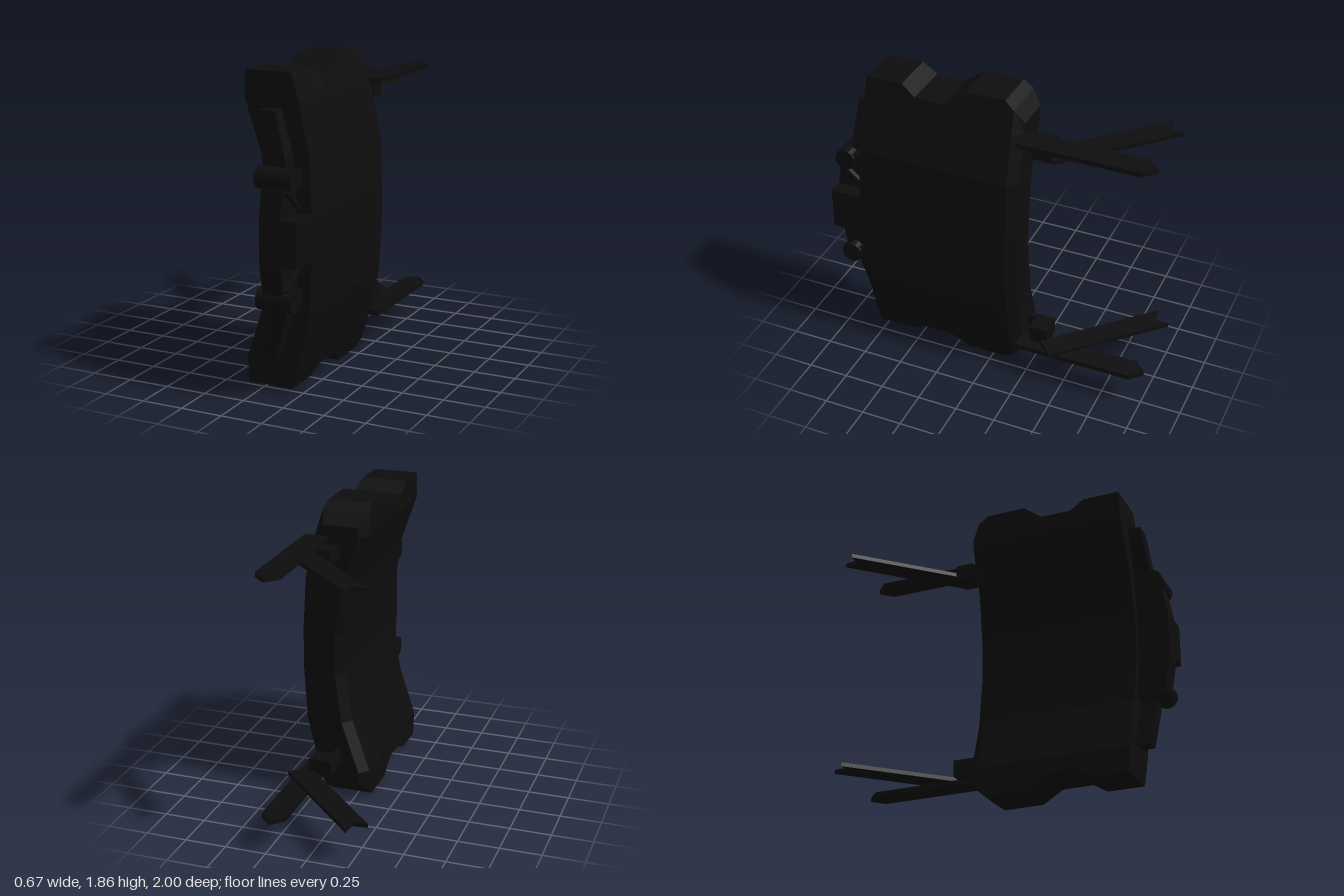
import * as THREE from 'three';

const MID = 0.93; // height of the horizontal mirror plane
const black = new THREE.MeshStandardMaterial({ color: 0x0d0d0d, flatShading: true });

// Piecewise linear lookup in [[key, value], ...]
function lerpTable(table, k) {
  for (let i = 1; i < table.length; i++) {
    const [a, va] = table[i - 1], [b, vb] = table[i];
    if (k <= b || i === table.length - 1) return va + ((vb - va) * (k - a)) / (b - a);
  }
}

// The bow of the shield, by distance from the mid height
const innerX = (y) => lerpTable([[0, 0.065], [0.13, 0.065], [0.45, 0.02], [0.75, -0.085], [0.93, -0.08]], Math.abs(y - MID));
const outerX = (y) => lerpTable([[0, 0.333], [0.13, 0.333], [0.45, 0.315], [0.81, 0.23], [0.93, 0.185]], Math.abs(y - MID));
const centreX = (y) => (innerX(y) + outerX(y)) / 2;

// Joins counter-clockwise rings (seen from +z), each mirrored left/right about a
// strip of rows, into a closed solid. Rings are ordered from low to high z.
function loft(rings) {
  const pos = [];
  const quad = (a, b, c, d) => pos.push(...a, ...b, ...c, ...a, ...c, ...d);
  const n = rings[0].length;
  for (let k = 0; k + 1 < rings.length; k++)
    for (let i = 0; i < n; i++) {
      const j = (i + 1) % n;
      quad(rings[k][i], rings[k][j], rings[k + 1][j], rings[k + 1][i]);
    }
  const back = rings[0], front = rings[rings.length - 1];
  for (let i = 0; i + 1 < n / 2; i++) {
    const p = n - 1 - i, q = n - 2 - i;
    quad(front[i], front[i + 1], front[q], front[p]);
    quad(back[p], back[q], back[i + 1], back[i]);
  }
  const g = new THREE.BufferGeometry();
  g.setAttribute('position', new THREE.Float32BufferAttribute(pos, 3));
  g.computeVertexNormals();
  return g;
}

// A ring from rows of heights with functions for the two sides and the depth
function ring(rows, left, right, depth) {
  const up = rows.map((y) => [right(y), y, depth(y)]);
  const down = rows.map((y) => [left(y), y, depth(y)]).reverse();
  return [...up, ...down];
}

function add(parent, name, geometry, x = 0, y = 0, z = 0) {
  const mesh = new THREE.Mesh(geometry, black);
  mesh.name = name;
  mesh.position.set(x, y, z);
  parent.add(mesh);
  return mesh;
}

function box(parent, name, x0, x1, y0, y1, z0, z1) {
  return add(parent, name, new THREE.BoxGeometry(x1 - x0, y1 - y0, z1 - z0),
    (x0 + x1) / 2, (y0 + y1) / 2, (z0 + z1) / 2);
}

// Flat bar drawn in plan as [x, z] points, from height y0 to y1
function planBar(parent, name, points, y0, y1) {
  const shape = new THREE.Shape(points.map(([x, z]) => new THREE.Vector2(x, -z)));
  const g = new THREE.ExtrudeGeometry(shape, { depth: y1 - y0, bevelEnabled: false });
  g.rotateX(-Math.PI / 2);
  return add(parent, name, g, 0, y0, 0);
}

// Side outline [z, y] extruded from x0 to x1
function sideBlock(parent, name, points, x0, x1) {
  const shape = new THREE.Shape(points.map(([z, y]) => new THREE.Vector2(-z, y)));
  const g = new THREE.ExtrudeGeometry(shape, { depth: x1 - x0, bevelEnabled: false });
  g.rotateY(Math.PI / 2);
  return add(parent, name, g, x0, 0, 0);
}

export function createModel() {
  const model = new THREE.Group();
  model.name = 'curvedShield';

  // Bowed plate: [z, half height, side chamfer]
  const stations = [
    [-0.2, 0.81, 0.05], [-0.14, 0.885, 0], [-0.08, 0.93, 0], [0.165, 0.93, 0],
    [0.28, 0.84, 0], [0.47, 0.84, 0], [0.56, 0.9, 0], [0.785, 0.9, 0],
  ];
  const rings = stations.map(([z, h, c], k) => {
    const rows = [MID - h, 0.18, 0.5, 0.8, 1.06, 1.38, 1.68, MID + h];
    const bulge = k === stations.length - 1 ? 0.03 : 0;
    return ring(rows, (y) => innerX(y) + c, (y) => outerX(y) - c,
      (y) => z + bulge * (1 - Math.abs(y - MID) / h));
  });
  add(model, 'plate', loft(rings));

  // Raised spine pieces on the front rim, mirrored above and below the middle
  for (const s of [-1, 1]) {
    const at = (d) => MID + s * d;
    const rows = [at(0.31), at(0.45), at(0.7)].sort((a, b) => a - b);
    const side = (w) => (y) => centreX(y) + w;
    add(model, 'rimPanel', loft([
      ring(rows, side(-0.05), side(0.05), () => 0.76),
      ring(rows, side(-0.05), side(0.05), (y) => 0.94 - 0.093 * Math.abs(y - MID)),
    ]));

    const pin = new THREE.CylinderGeometry(0.065, 0.065, 0.22, 16);
    pin.rotateZ(Math.PI / 2);
    add(model, 'hingePin', pin, 0.18, at(0.342), 0.918);
    // Foot holding the pin to the rim
    box(model, 'hingeFoot', 0.09, 0.27, at(0.342) - 0.045, at(0.342) + 0.045, 0.77, 0.9);
    // Sloping brace between the pin and the grip block
    const brace = box(model, 'brace', 0.22, 0.27, -0.012, 0.012, -0.09, 0.09);
    brace.position.set(0.245, at(0.225), 0.885);
    brace.rotation.x = -s * 0.68;
  }

  // Central spine between the pins and the wider block on it
  sideBlock(model, 'spine', [
    [0.77, 0.62], [0.968, 0.62], [1, 0.8], [1, 1.06], [0.968, 1.24], [0.77, 1.24],
  ], 0.11, 0.24);
  box(model, 'centreBlock', 0.11, 0.333, 0.8, 1.06, 0.77, 1);

  // Rear brackets: mount, straight arm and crossing diagonal arm
  for (const s of [-1, 1]) {
    const bracket = new THREE.Group();
    bracket.name = s > 0 ? 'upperBracket' : 'lowerBracket';
    model.add(bracket);
    const span = (a, b) => [MID + s * a, MID + s * b].sort((p, q) => p - q);
    planBar(bracket, 'straightArm', [
      [0.15, -0.19], [0.295, -0.19], [0.295, -0.93], [0.222, -1], [0.15, -0.93],
    ], ...span(0.71, 0.74));
    planBar(bracket, 'diagonalArm', [
      [0.333, -0.43], [-0.237, -1], [-0.245, -0.91], [-0.337, -0.9], [0.233, -0.33],
    ], ...span(0.685, 0.71));
    box(bracket, 'mountStem', 0.08, 0.115, ...span(0.61, 0.69), -0.37, -0.18);
    box(bracket, 'mountBlock', 0.08, 0.22, ...span(0.61, 0.712), -0.37, -0.255);
  }
  return model;
}
